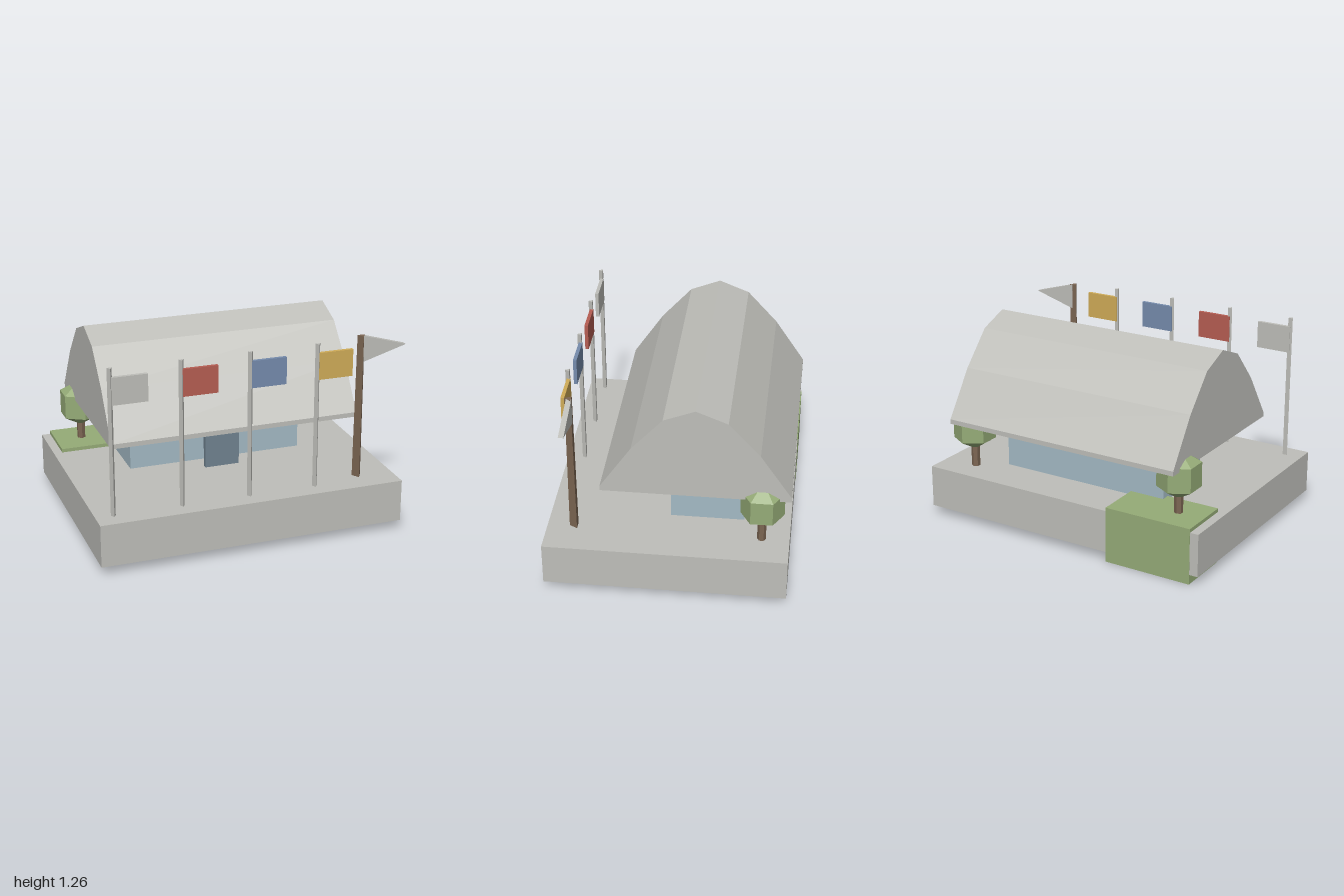
import * as THREE from 'three';

const material = (name, color) => {
  const m = new THREE.MeshStandardMaterial({ color, flatShading: true });
  m.name = name;
  return m;
};

export function createModel() {
  const grey = material('stone grey', 0xbebeb9);
  const wallBlue = material('wall blue', 0xa3b9c4);
  const doorBlue = material('door slate', 0x708290);
  const green = material('leaf green', 0x95ab77);
  const brown = material('wood brown', 0x7b6552);
  const red = material('flag red', 0xb55d52);
  const blue = material('flag blue', 0x758bac);
  const yellow = material('flag yellow', 0xcfab57);

  const model = new THREE.Group();
  model.name = 'pavilion';

  const add = (parent, name, geometry, mat, x = 0, y = 0, z = 0) => {
    const mesh = new THREE.Mesh(geometry, mat);
    mesh.name = name;
    mesh.position.set(x, y, z);
    parent.add(mesh);
    return mesh;
  };
  // Box given by its limits on each axis
  const box = (parent, name, mat, [x0, x1], [y0, y1], [z0, z1]) =>
    add(parent, name, new THREE.BoxGeometry(x1 - x0, y1 - y0, z1 - z0), mat,
      (x0 + x1) / 2, (y0 + y1) / 2, (z0 + z1) / 2);
  // Upright prism standing on y0
  const post = (parent, name, mat, rTop, rBottom, sides, x, y0, y1, z) =>
    add(parent, name, new THREE.CylinderGeometry(rTop, rBottom, y1 - y0, sides), mat,
      x, (y0 + y1) / 2, z);

  const ground = 0.332;
  const mastTop = 1.257;

  // Ground and building
  box(model, 'base', grey, [-1, 0.94], [0.062, ground], [-0.743, 0.743]);
  box(model, 'lawn', green, [-0.945, -0.373], [0, 0.355], [-0.745, -0.402]);
  box(model, 'walls', wallBlue, [-0.6, 0.54], [ground, 0.66], [-0.455, 0]);
  box(model, 'door', doorBlue, [-0.145, 0.08], [ground, 0.575], [0.107, 0.14]);

  // Curved roof: profile across z, extruded along x
  const profile = [
    [0.403, 0.657], [0.403, 0.687], [0.21, 0.972], [0.02, 1.182], [-0.171, mastTop],
    [-0.362, 1.182], [-0.553, 0.972], [-0.745, 0.687], [-0.745, 0.657],
  ];
  const roofShape = new THREE.Shape(profile.map(([z, y]) => new THREE.Vector2(-z, y)));
  const roofGeometry = new THREE.ExtrudeGeometry(roofShape, { depth: 1.6, bevelEnabled: false });
  roofGeometry.rotateY(Math.PI / 2);
  add(model, 'roof', roofGeometry, grey, -0.83);

  // Trees
  for (const x of [-0.772, 0.715]) {
    const tree = new THREE.Group();
    tree.name = 'tree';
    tree.position.set(x, 0, -0.572);
    post(tree, 'trunk', brown, 0.027, 0.027, 6, 0, ground, 0.47, 0);
    const crown = new THREE.SphereGeometry(0.154, 6, 3);
    crown.rotateY(Math.PI / 2);
    add(tree, 'crown', crown, green, 0, 0.6, 0);
    model.add(tree);
  }

  // Row of flags on three-sided poles
  [grey, red, blue, yellow].forEach((mat, i) => {
    const flagpole = new THREE.Group();
    flagpole.name = 'flagpole';
    flagpole.position.set(-0.888 + i * 0.429, 0, 0.633);
    post(flagpole, 'pole', grey, 0.0175, 0.0175, 3, 0, ground, mastTop, 0);
    box(flagpole, 'flag', mat, [0, 0.225], [1.03, 1.2], [-0.013, 0.009]);
    model.add(flagpole);
  });

  // Tapered wooden mast with a pennant
  const mast = new THREE.Group();
  mast.name = 'mast';
  mast.position.set(0.71, 0, 0.574);
  post(mast, 'mastPole', brown, 0.027, 0.033, 3, 0, ground, mastTop, 0);
  const pennantShape = new THREE.Shape([
    new THREE.Vector2(0.005, 1.09), new THREE.Vector2(0.29, 1.174), new THREE.Vector2(0.005, mastTop),
  ]);
  add(mast, 'pennant',
    new THREE.ExtrudeGeometry(pennantShape, { depth: 0.032, bevelEnabled: false }), grey, 0, 0, -0.016);
  model.add(mast);

  return model;
}
